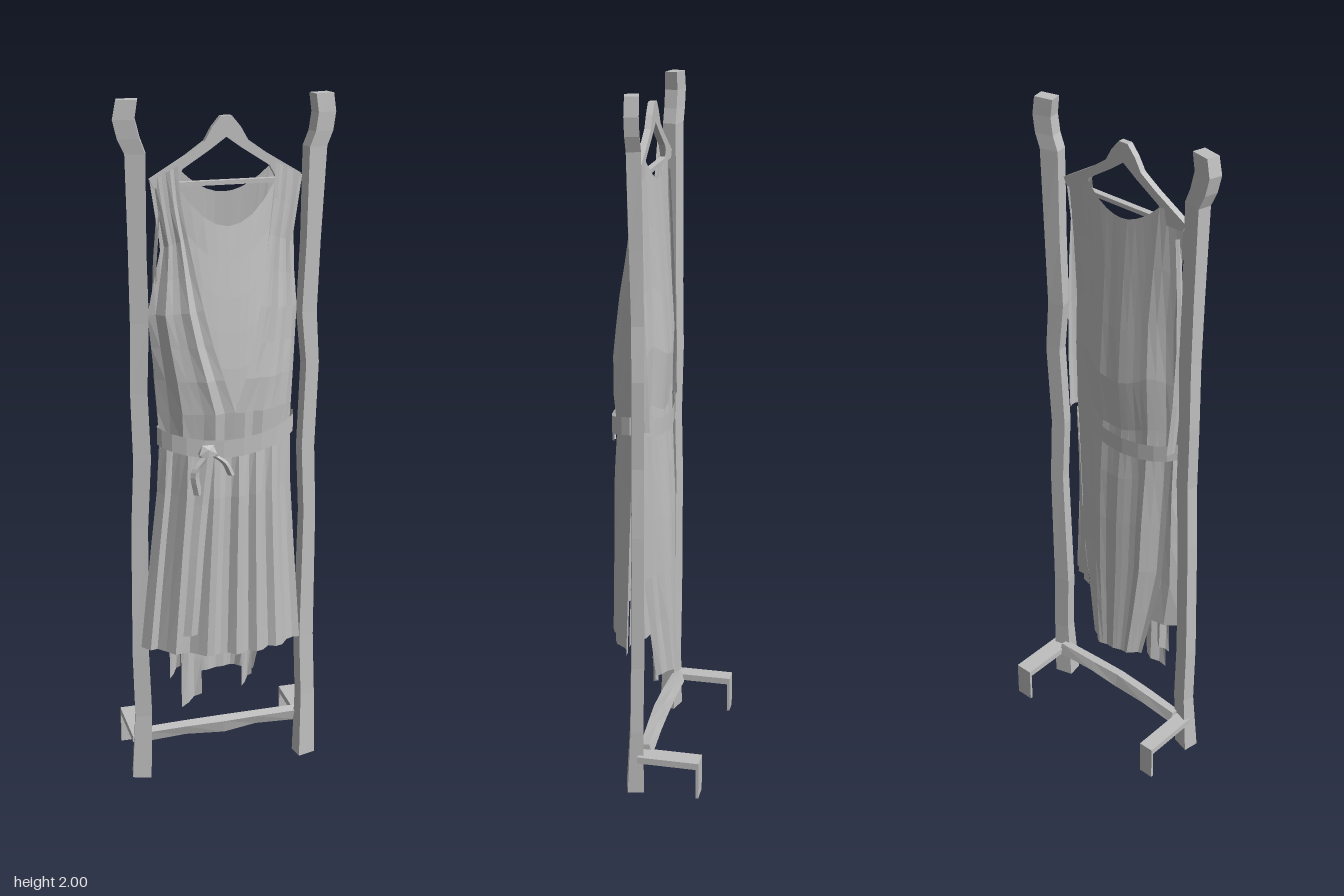
import * as THREE from 'three';

export function createModel() {
  const model = new THREE.Group();
  const grey = new THREE.MeshStandardMaterial({ color: 0xbfbfbf, side: THREE.DoubleSide, flatShading: true });
  grey.name = 'plain grey';

  const add = (name, geo) => {
    const mesh = new THREE.Mesh(geo, grey);
    mesh.name = name;
    model.add(mesh);
    return mesh;
  };

  // Skewed four-sided bar through rows of [x, y, z, halfWidth, halfDepth], top first
  const bar = (rows, skew) => {
    const n = rows.length - 1;
    const geo = new THREE.BoxGeometry(2, 1, 2, 1, n, 1);
    const p = geo.attributes.position;
    for (let i = 0; i < p.count; i++) {
      const [x, y, z, w, d] = rows[Math.round((0.5 - p.getY(i)) * n)];
      const sx = p.getX(i), sz = p.getZ(i);
      p.setXYZ(i, x + w * (0.86 * sx - 0.14 * skew * sz), y, z + d * (0.75 * sz + 0.25 * skew * sx));
    }
    return geo;
  };

  // Faceted cloth sheet from a rule f(u, v) -> [x, y, z], u and v from 0 to 1
  const sheet = (nu, nv, f) => {
    const geo = new THREE.PlaneGeometry(1, 1, nu, nv);
    const p = geo.attributes.position;
    for (let i = 0; i < p.count; i++) p.setXYZ(i, ...f(p.getX(i) + 0.5, 0.5 - p.getY(i)));
    const flat = geo.toNonIndexed();
    flat.computeVertexNormals();
    return flat;
  };

  // Interpolate columns of a table whose first column falls from top to bottom
  const at = (table, y) => {
    let i = 0;
    while (i < table.length - 2 && y < table[i + 1][0]) i++;
    const a = table[i], b = table[i + 1];
    const t = THREE.MathUtils.clamp((a[0] - y) / (a[0] - b[0]), 0, 1);
    return a.map((v, k) => THREE.MathUtils.lerp(v, b[k], t));
  };

  // Crooked posts with outward-curling tops
  add('rightPost', bar([
    [-0.265, 2, 0.025, 0.032, 0.024], [-0.274, 1.95, 0.025, 0.033, 0.025], [-0.262, 1.9, 0.025, 0.033, 0.025],
    [-0.245, 1.86, 0.025, 0.031, 0.025], [-0.243, 1.6, 0.022, 0.028, 0.024], [-0.24, 1.4, 0.02, 0.029, 0.022],
    [-0.245, 1.2, 0.018, 0.027, 0.022], [-0.24, 1, 0.022, 0.028, 0.022], [-0.25, 0.8, 0.02, 0.027, 0.022],
    [-0.255, 0.4, 0.024, 0.027, 0.024], [-0.25, 0.2, 0.026, 0.028, 0.024], [-0.26, 0, 0.032, 0.031, 0.031]], 1));
  add('leftPost', bar([
    [0.268, 2, 0.025, 0.031, 0.024], [0.275, 1.95, 0.025, 0.031, 0.025], [0.268, 1.9, 0.025, 0.031, 0.025],
    [0.252, 1.86, 0.025, 0.031, 0.025], [0.245, 1.6, 0.022, 0.026, 0.024], [0.238, 1.4, 0.02, 0.027, 0.022],
    [0.251, 1.25, 0.018, 0.024, 0.022], [0.241, 1, 0.022, 0.024, 0.022], [0.25, 0.8, 0.02, 0.023, 0.022],
    [0.245, 0.4, 0.024, 0.027, 0.024], [0.252, 0.2, 0.026, 0.027, 0.024], [0.249, 0, 0.032, 0.031, 0.031]], -1));

  // Lower rail, shaped upright and then laid on its side
  add('crossbar', bar([
    [0.115, 0.235, 0.002, 0.02, 0.018], [0.122, 0.12, 0.006, 0.018, 0.02], [0.12, 0, 0.01, 0.024, 0.02],
    [0.125, -0.1, 0.006, 0.017, 0.02], [0.12, -0.235, 0.002, 0.021, 0.018]], 1).rotateZ(Math.PI / 2));

  // Bent flat feet reaching to the back
  for (const [name, x, w] of [['rightFoot', -0.26, 0.046], ['leftFoot', 0.257, 0.054]]) {
    add(name + 'Arm', new THREE.BoxGeometry(w, 0.02, 0.18).translate(x, 0.113, -0.072));
    add(name + 'Drop', new THREE.BoxGeometry(w, 0.108, 0.008).translate(x, 0.064, -0.158));
  }

  // Hanger with triangular opening
  const outline = [[0.015, 1.95], [0.04, 1.92], [0.06, 1.885], [0.11, 1.85], [0.21, 1.79], [0.2, 1.768]];
  const hanger = new THREE.Shape();
  hanger.moveTo(-0.015, 1.95);
  outline.forEach(([x, y]) => hanger.lineTo(x, y));
  [...outline].reverse().forEach(([x, y]) => hanger.lineTo(-x, y));
  const opening = new THREE.Path();
  opening.moveTo(0, 1.895);
  [[-0.045, 1.863], [-0.12, 1.815], [-0.14, 1.78], [0.14, 1.78], [0.12, 1.815], [0.045, 1.863]].forEach(([x, y]) => opening.lineTo(x, y));
  hanger.holes.push(opening);
  add('hanger', new THREE.ExtrudeGeometry(hanger, { depth: 0.018, bevelEnabled: false }).translate(0, 0, 0.022));

  // Front cloth profile: y, right edge, left edge, edge z, centre z, pleat depth, fullness
  const front = [
    [1.79, -0.21, 0.215, 0.035, 0.05, 0.002, 2.4], [1.6, -0.182, 0.188, 0.035, 0.078, 0.005, 2.6],
    [1.43, -0.222, 0.205, 0.035, 0.105, 0.007, 3], [1.2, -0.2, 0.195, 0.035, 0.135, 0.006, 3],
    [1.07, -0.195, 0.185, 0.045, 0.122, 0.006, 2.5], [0.95, -0.2, 0.185, 0.045, 0.132, 0.01, 2.3],
    [0.7, -0.23, 0.2, 0.05, 0.135, 0.012, 2.2], [0.41, -0.262, 0.22, 0.055, 0.14, 0.012, 2.2]];
  const frontPoint = (u, y, phase) => {
    const [, l, r, ze, zc, pleat, full] = at(front, y);
    const s = Math.abs(2 * u - 1);
    return [l + (r - l) * u, y, ze + (zc - ze) * (1 - Math.pow(s, full)) + pleat * Math.sin(phase)];
  };
  add('frontSkirt', sheet(22, 4, (u, v) =>
    frontPoint(u, 1.07 - v * (0.66 - 0.025 * (1 - u)), u * 38 + Math.sin(u * 9))));

  // Front bodice: sides pleated from shoulder to waist, meeting in a deep V
  const vEdge = (y) => 0.135 * Math.pow(THREE.MathUtils.clamp((y - 1.2) / 0.57, 0, 1), 0.62);
  for (const side of [-1, 1]) {
    add(side < 0 ? 'rightBodice' : 'leftBodice', sheet(7, 8, (u, v) => {
      const y = THREE.MathUtils.lerp(1.825 - 0.04 * u, 1.06, v);
      const [, l, r] = at(front, y);
      const x = THREE.MathUtils.lerp(side * vEdge(y), side < 0 ? l : r, u);
      const p = frontPoint((x - l) / (r - l), y, u * 16 * side);
      p[2] += 0.003 * (1 - u);
      return p;
    }));
    // Narrow folded sleeve cloth at the sides
    add(side < 0 ? 'rightSleeve' : 'leftSleeve', sheet(3, 4, (u, v) => [
      side * (0.19 + (side < 0 ? 0.02 : 0.012) * Math.sin(v * 3) - 0.02 * Math.abs(u - 0.5)),
      1.74 - v * 0.66, 0.04 - u * (0.02 + 0.02 * v)]));
  }

  // Smooth inner panel behind the V, below a sagging neckline
  add('neckPanel', sheet(8, 5, (u, v) => {
    const s = 2 * u - 1;
    const y = THREE.MathUtils.lerp(1.66 + 0.11 * s * s, 1.18, v);
    const [, l, r] = at(front, y);
    const x = s * 0.135 * (1 - 0.6 * v);
    const p = frontPoint((x - l) / (r - l), y, 0);
    p[2] -= 0.009;
    return p;
  }));

  // Longer back panel: smooth middle, creased sides, one fold swelling towards the hem
  const back = [
    [1.8, 0.2, 0.03, 0.015, 0.001], [1.5, 0.172, 0.028, -0.006, 0.004], [1.28, 0.18, 0.028, -0.022, 0.006],
    [1.07, 0.18, 0.032, -0.004, 0.006], [0.9, 0.17, 0.03, -0.024, 0.008],
    [0.6, 0.155, 0.025, -0.028, 0.008], [0.29, 0.095, 0.005, -0.033, 0.006]];
  add('backPanel', sheet(16, 9, (u, v) => {
    const s = 2 * u - 1, a = Math.abs(s);
    const top = a < 0.66 ? 1.745 + 0.075 * (a / 0.66) ** 2 : 1.82 - 0.1 * (a - 0.66);
    const y = THREE.MathUtils.lerp(top, 0.29, v);
    const [, w, ze, zc, pleat] = at(back, y);
    const crease = pleat * Math.sin(u * 25) * (a > 0.4 ? 1 : 0.35);
    const fold = 0.014 * v * Math.exp(-(((s * w - 0.045) / 0.03) ** 2));
    return [s * w, y, ze + (zc - ze) * (1 - s * s) + crease - fold];
  }));

  // Skirt sides linking front and back above the hems
  for (const side of [-1, 1]) {
    add(side < 0 ? 'rightSkirtSide' : 'leftSkirtSide', sheet(3, 4, (u, v) => {
      const y = 1.07 - v * 0.63;
      const [, l, r, ze] = at(front, y);
      const [, w, bz] = at(back, y);
      return [THREE.MathUtils.lerp(side < 0 ? l : r, side * w, u), y, THREE.MathUtils.lerp(ze, bz, u) + 0.012 * Math.sin(u * 6)];
    }));
  }

  // Lining corners showing below the front hem
  const tail = (name, x, top, bottom, w, z) => add(name, sheet(3, 3, (u, v) => [
    x + (u - 0.5) * w, THREE.MathUtils.lerp(top, bottom + 0.03 * u, v), z + 0.012 * Math.sin(u * 5 + v)]));
  tail('rightLining', -0.11, 0.6, 0.225, 0.065, 0.055);
  tail('rightLiningEdge', -0.155, 0.6, 0.315, 0.035, 0.035);
  tail('leftLining', 0.072, 0.6, 0.245, 0.035, 0.01);

  // Belt loop around the waist, dipping in the middle
  add('belt', sheet(22, 1, (t, v) => {
    const a = t * Math.PI * 2;
    const c = Math.cos(a), s = Math.sin(a);
    return [-0.006 + 0.198 * c, 1.081 + 0.035 * c * c + 0.008 * c - v * 0.052, 0.055 + (s > 0 ? 0.086 : 0.074) * s];
  }));

  // Knot, loops and hanging belt end
  add('beltKnot', new THREE.IcosahedronGeometry(0.03, 0).scale(1, 1, 0.5).translate(-0.08, 1.045, 0.138));
  const strip = (name, points, w) => {
    const curve = new THREE.CatmullRomCurve3(points.map((p) => new THREE.Vector3(...p)));
    add(name, sheet(2, 8, (u, v) => {
      const p = curve.getPoint(v);
      return [p.x + (u - 0.5) * w, p.y, p.z + (u === 0.5 ? 0.008 : 0)];
    }));
  };
  strip('beltEnd', [[-0.085, 1.04, 0.147], [-0.1, 0.9, 0.143], [-0.115, 0.75, 0.146], [-0.125, 0.62, 0.148], [-0.135, 0.5, 0.146]], 0.042);
  strip('beltLoopRight', [[-0.09, 1.04, 0.15], [-0.12, 1.0, 0.153], [-0.11, 0.93, 0.146]], 0.025);
  strip('beltLoopLeft', [[-0.06, 1.04, 0.147], [-0.035, 1.02, 0.15], [-0.015, 0.98, 0.147]], 0.02);

  return model;
}
